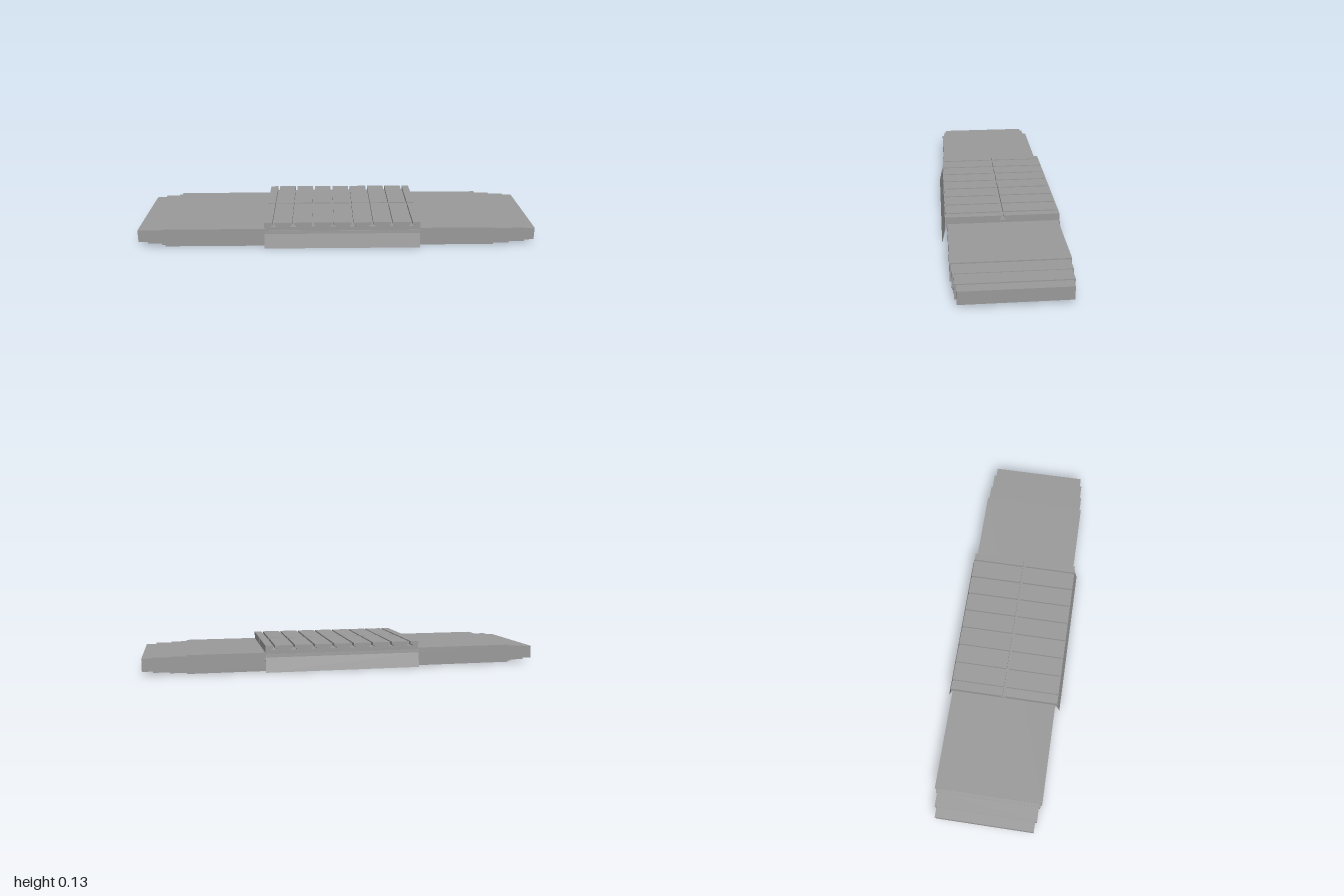
import * as THREE from 'three';

const material = new THREE.MeshStandardMaterial({ color: 0x999999, flatShading: true });

// Box given by its limits on each axis
function block(parent, name, [x0, x1], [y0, y1], [z0, z1]) {
  const mesh = new THREE.Mesh(new THREE.BoxGeometry(x1 - x0, y1 - y0, z1 - z0), material);
  mesh.position.set((x0 + x1) / 2, (y0 + y1) / 2, (z0 + z1) / 2);
  mesh.name = name;
  parent.add(mesh);
}

function createTable() {
  const table = new THREE.Group();
  table.name = 'slottedTable';
  const xMin = -0.362, xMax = 0.415, zMax = 0.274;
  const slots = Array.from({ length: 8 }, (_, i) => -0.317 + i * 0.0985);
  block(table, 'tableBase', [xMin, xMax], [0.073, 0.108], [-zMax, zMax]);

  // Wide lower layer and narrow upper layer together form crossing T-slots
  const layers = [
    { name: 'slotFoot', y: [0.108, 0.115], half: 0.0135, crossHalf: 0.0135 },
    { name: 'slotLip', y: [0.115, 0.13], half: 0.005, crossHalf: 0.006 },
  ];
  for (const { name, y, half, crossHalf } of layers) {
    for (let i = 0; i <= slots.length; i++) {
      const x0 = i === 0 ? xMin : slots[i - 1] + half;
      const x1 = i === slots.length ? xMax : slots[i] - half;
      block(table, name, [x0, x1], y, [crossHalf, zMax]);
      block(table, name, [x0, x1], y, [-zMax, -crossHalf]);
    }
  }

  // Thin flared skirts along both long edges
  for (const side of [1, -1]) {
    const profile = [[0.274, 0.088], [0.277, 0.088], [0.278, 0.072], [0.294, 0], [0.292, 0], [0.275, 0.072]];
    const shape = new THREE.Shape(profile.map(([z, y]) => new THREE.Vector2(-side * z, y)));
    const geometry = new THREE.ExtrudeGeometry(shape, { depth: xMax - xMin, bevelEnabled: false });
    geometry.rotateY(Math.PI / 2).translate(xMin, 0, 0);
    const skirt = new THREE.Mesh(geometry, material);
    skirt.name = side > 0 ? 'frontSkirt' : 'backSkirt';
    table.add(skirt);
  }
  return table;
}

export function createModel() {
  const model = new THREE.Group();
  model.name = 'machineTable';

  // Long bed cover
  block(model, 'bedCover', [-0.862, 0.79], [0.004, 0.095], [-0.267, 0.267]);

  // Telescoping sections step inward; the right outer one is nearly retracted
  const sections = [
    { name: 'CoverOuter', left: [0.79, 0.87], right: [-0.88, -0.862], y: [0.009, 0.089], z: 0.26 },
    { name: 'CoverMiddle', left: [0.87, 0.949], right: [-0.95, -0.88], y: [0.013, 0.086], z: 0.253 },
    { name: 'CoverInner', left: [0.949, 1], right: [-1, -0.95], y: [0.018, 0.081], z: 0.244 },
  ];
  for (const { name, left, right, y, z } of sections) {
    block(model, 'left' + name, left, y, [-z, z]);
    block(model, 'right' + name, right, y, [-z, z]);
  }

  model.add(createTable());
  return model;
}
